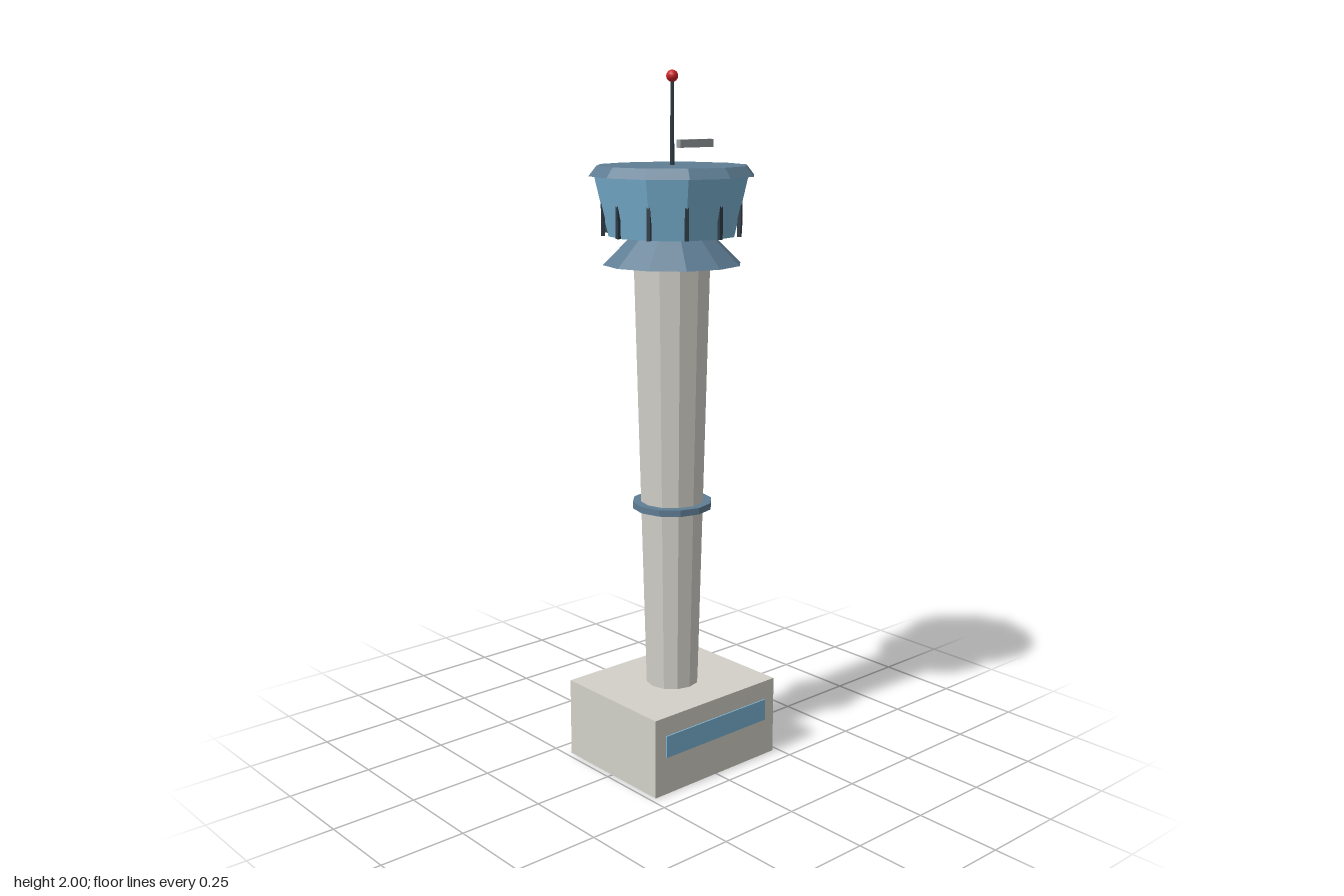
import * as THREE from 'three';

const SIDES = 12;

function material(name, color) {
  const m = new THREE.MeshStandardMaterial({ color });
  m.name = name;
  return m;
}

export function createModel() {
  const tower = new THREE.Group();
  tower.name = 'controlTower';

  const concrete = material('concrete', 0xd2d0c8);
  const glass = material('glass', 0x7ab4d4);
  const steel = material('blueSteel', 0x5f7d94);
  const dark = material('darkMetal', 0x2e3c46);
  const grey = material('greyMetal', 0x98a0a2);
  const red = material('redLamp', 0xcc2222);

  function add(name, geometry, mat, x = 0, y = 0, z = 0) {
    const mesh = new THREE.Mesh(geometry, mat);
    mesh.name = name;
    mesh.position.set(x, y, z);
    tower.add(mesh);
    return mesh;
  }

  // Faceted frustum between two heights
  function frustum(name, rBottom, rTop, y0, y1, mat, sides = SIDES) {
    const g = new THREE.CylinderGeometry(rTop, rBottom, y1 - y0, sides).toNonIndexed();
    g.computeVertexNormals();
    return add(name, g, mat, 0, (y0 + y1) / 2, 0);
  }

  // Base building with its front window strip
  add('baseBuilding', new THREE.BoxGeometry(0.466, 0.234, 0.388), concrete, 0, 0.117, 0);
  add('baseWindow', new THREE.BoxGeometry(0.39, 0.065, 0.008), glass, 0, 0.145, 0.194);

  // Flared shaft and its collar
  frustum('shaft', 0.077, 0.109, 0.23, 1.48, concrete);
  frustum('shaftCollar', 0.116, 0.116, 0.771, 0.79, steel);

  // Control cab: skirt, outward-leaning glass, roof
  frustum('cabSkirt', 0.196, 0.115, 1.474, 1.553, steel);
  frustum('cabGlass', 0.179, 0.218, 1.553, 1.72, glass);
  frustum('roof', 0.233, 0.211, 1.717, 1.745, steel);

  // Upright mullions at the corners of the glass
  const bar = new THREE.BoxGeometry(0.01, 0.155, 0.01);
  for (let i = 0; i < SIDES; i++) {
    const a = (i / SIDES) * Math.PI * 2;
    const mullion = add('mullion', bar, dark, Math.sin(a) * 0.194, 1.632, Math.cos(a) * 0.194);
    mullion.rotation.y = a;
  }

  // Mast, warning lamp and radar bar
  frustum('mast', 0.006, 0.005, 1.74, 1.98, dark, 6);
  add('warningLamp', new THREE.SphereGeometry(0.0165, 10, 8), red, 0, 1.9835, 0);
  add('radarBar', new THREE.BoxGeometry(0.124, 0.022, 0.016), grey, 0.085, 1.802, 0);

  return tower;
}
